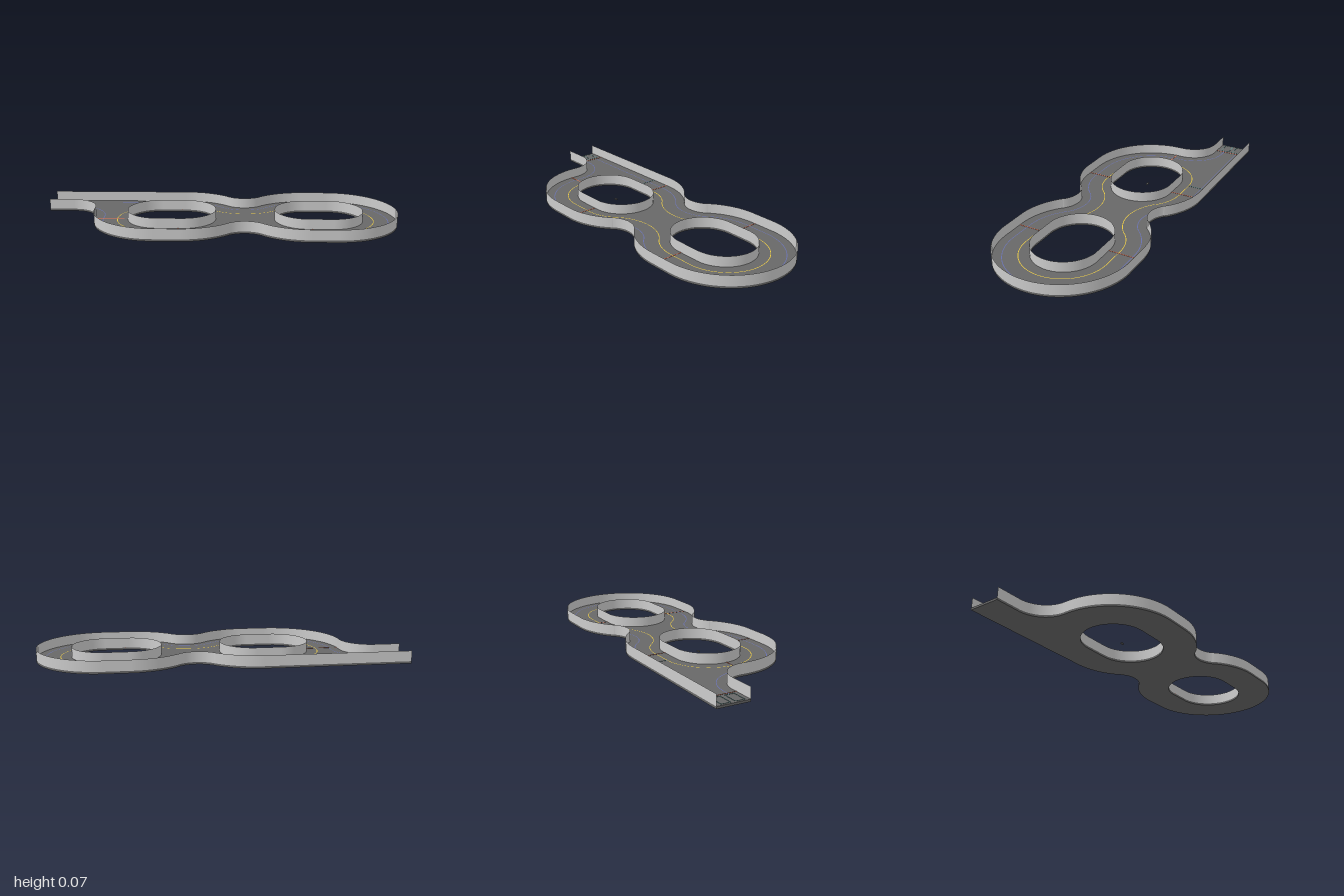
import * as THREE from 'three';
import { toCreasedNormals } from 'three/addons/utils/BufferGeometryUtils.js';

const R = 0.366;                               // outer radius of both loops
const A = -0.2, B = 0.495, C = 0.634, D = -0.335; // arc centres along x
const M = (A + B) / 2, WAIST = 0.136, WZ = 0.225 + WAIST; // waist fillets
const DECK = 0.012, TOP = 0.07, LINE = 0.0135;
const PI = Math.PI;

const material = (color) => new THREE.MeshStandardMaterial({ color, side: THREE.DoubleSide });

// Edge of the track moved inward by d; path y is world z
function trackPath(d, startX, closed) {
  const p = new THREE.Path(), r = R - d, t = Math.atan2(-WZ, M - A);
  if (closed) p.moveTo(D, -r);
  else p.moveTo(startX, -r);
  p.lineTo(A, -r);
  p.absarc(A, 0, r, -PI / 2, t, false);
  p.absarc(M, -WZ, WAIST + d, PI + t, -t, true);
  p.absarc(B, 0, r, -PI - t, -PI / 2, false);
  p.lineTo(C, -r);
  p.absarc(C, 0, r, -PI / 2, PI / 2, false);
  p.lineTo(B, r);
  p.absarc(B, 0, r, PI / 2, PI + t, false);
  p.absarc(M, WZ, WAIST + d, t, -PI - t, true);
  p.absarc(A, 0, r, -t, PI / 2, false);
  p.lineTo(D, r);
  if (closed) {
    p.absarc(D, 0, r, PI / 2, PI * 1.5, false);
  } else {
    // curve back out to the entry lane
    p.absarc(D, 0, r, PI / 2, PI, false);
    p.lineTo(D - r, -0.03);
    p.absarc(D - R - 0.155, -0.03, 0.155 + d, 0, -PI / 2, true);
    p.lineTo(startX, -0.185 - d);
  }
  return p.getPoints(32);
}

// Rounded slot in the middle of a loop
function holePath(x0, x1, r) {
  const p = new THREE.Path();
  p.moveTo(x0, -r);
  p.lineTo(x1, -r);
  p.absarc(x1, 0, r, -PI / 2, PI / 2, false);
  p.lineTo(x0, r);
  p.absarc(x0, 0, r, PI / 2, PI * 1.5, false);
  return p.getPoints(32);
}

// Smooth strip between two matching point rows at heights ya and yb
function ribbon(a, ya, b, yb) {
  const pos = [], index = [];
  a.forEach((p, i) => {
    pos.push(p.x, ya, p.y, b[i].x, yb, b[i].y);
    const k = i * 2;
    if (i) index.push(k - 2, k - 1, k, k, k - 1, k + 1);
  });
  const g = new THREE.BufferGeometry();
  g.setAttribute('position', new THREE.Float32BufferAttribute(pos, 3));
  g.setIndex(index);
  g.computeVertexNormals();
  return g;
}

export function createModel() {
  const group = new THREE.Group();
  const grey = material(0xcccccc), dark = material(0x686868);
  const yellow = material(0xe8c840), blue = material(0x6870b0);
  const red = material(0xe07050), teal = material(0x609090);
  const add = (name, geometry, mat) => {
    const mesh = new THREE.Mesh(geometry, mat);
    mesh.name = name;
    group.add(mesh);
    return mesh;
  };

  // Deck slab with two slots
  const edge = trackPath(0, -1, false);
  const holes = [holePath(-0.33, -0.195, 0.181), holePath(0.498, 0.629, 0.181)];
  const shape = new THREE.Shape(edge);
  shape.holes = holes.map((h) => new THREE.Path(h));
  const deck = new THREE.ExtrudeGeometry(shape, { depth: DECK, bevelEnabled: false });
  deck.rotateX(PI / 2).translate(0, DECK, 0);
  add('deck', toCreasedNormals(deck, 0.5), dark);

  // Thin walls, open at the entry lane
  add('outerWall', ribbon(edge, DECK, edge, TOP), grey);
  holes.forEach((h, i) => add(i ? 'leftIslandWall' : 'rightIslandWall', ribbon(h, DECK, h, TOP), grey));

  // Painted lane lines
  const laneLine = (name, d, startX, closed, mat) => add(name,
    ribbon(trackPath(d - 0.002, startX, closed), LINE, trackPath(d + 0.002, startX, closed), LINE), mat);
  laneLine('centreLine', 0.13, 0, true, yellow);
  laneLine('edgeLine', 0.05, -0.9, false, blue);

  // Painted straight marks from (x0, z0) to (x1, z1)
  const mark = (name, x0, z0, x1, z1, mat, y = LINE + 0.0005) => {
    const w = 0.004;
    add(name, new THREE.BoxGeometry(Math.abs(x1 - x0) + w, 0.001, Math.abs(z1 - z0) + w), mat)
      .position.set((x0 + x1) / 2, y, (z0 + z1) / 2);
  };
  for (const x of [-0.215, 0.515]) {
    for (const s of [-1, 1]) mark('crossLine', x, s * 0.183, x, s * 0.362, red);
  }
  mark('entryLine', -0.89, -0.362, -0.89, -0.188, red);
  mark('sideLine', -0.697, 0.01, -0.513, 0.01, red);
  mark('laneMark', -0.335, -0.362, -0.335, -0.24, teal);

  // Two start boxes in the entry lane
  for (const z of [-0.31, -0.235]) {
    for (const s of [-1, 1]) {
      mark('startBoxSide', -0.99, z + s * 0.025, -0.905, z + s * 0.025, teal);
      mark('startBoxEnd', -0.9475 + s * 0.0425, z - 0.025, -0.9475 + s * 0.0425, z + 0.025, teal);
    }
  }

  // Small marker in the middle of the right slot
  add('centreMarker', new THREE.BoxGeometry(0.02, 0.006, 0.01), dark).position.set(-0.26, 0.006, -0.003);
  return group;
}
